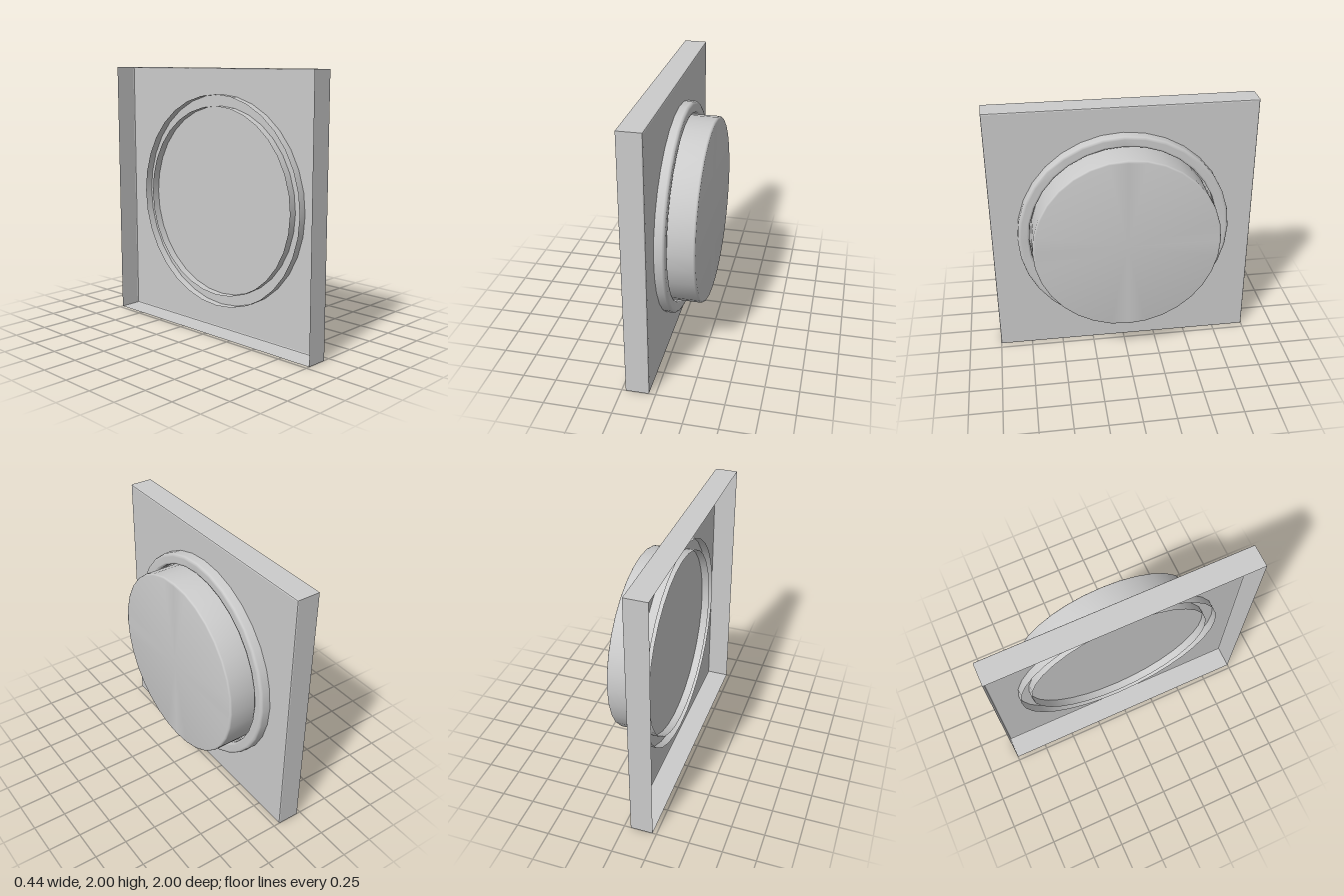
import * as THREE from 'three';
import { toCreasedNormals } from 'three/addons/utils/BufferGeometryUtils.js';

const SIDES = 32;
const material = new THREE.MeshStandardMaterial({ color: 0xcccccc, side: THREE.DoubleSide });

// Mesh from a profile of [radius, x] pairs turned around the x axis
function turned(name, profile, sides, crease, twist = 0) {
  const points = profile.map(([r, x]) => new THREE.Vector2(r, x));
  const geometry = new THREE.LatheGeometry(points, sides);
  geometry.rotateY(twist);
  geometry.rotateZ(-Math.PI / 2);
  const mesh = new THREE.Mesh(toCreasedNormals(geometry, crease), material);
  mesh.name = name;
  return mesh;
}

export function createModel() {
  const model = new THREE.Group();
  model.name = 'pushButton';
  const body = new THREE.Group();
  body.position.y = 1;
  model.add(body);

  // Square plate: four thin walls and a solid front with a bevelled edge, open at the back
  const d = Math.SQRT2;
  body.add(turned('plate', [
    [d, -0.22], [d, -0.056], [0.997 * d, -0.049], [0.99 * d, -0.046], [0, -0.046],
  ], 4, 0.3, Math.PI / 4));

  // Collar: a double-walled ring with rounded rims, passing through the plate, open at the back
  body.add(turned('collar', [
    [0.806, -0.106], [0.806, 0.002], [0.806, 0.008], [0.8, 0.022], [0.786, 0.028],
    [0.78, 0.028], [0.738, 0.028], [0.734, 0.028], [0.724, 0.024], [0.72, 0.014],
    [0.72, 0.008], [0.72, -0.106],
  ], SIDES, 0.9));

  // Round button standing on the plate inside the collar
  body.add(turned('button', [
    [0.706, -0.046], [0.706, 0.2], [0.706, 0.205], [0.702, 0.215], [0.692, 0.22],
    [0.686, 0.22], [0, 0.22],
  ], SIDES, 0.9));

  return model;
}
